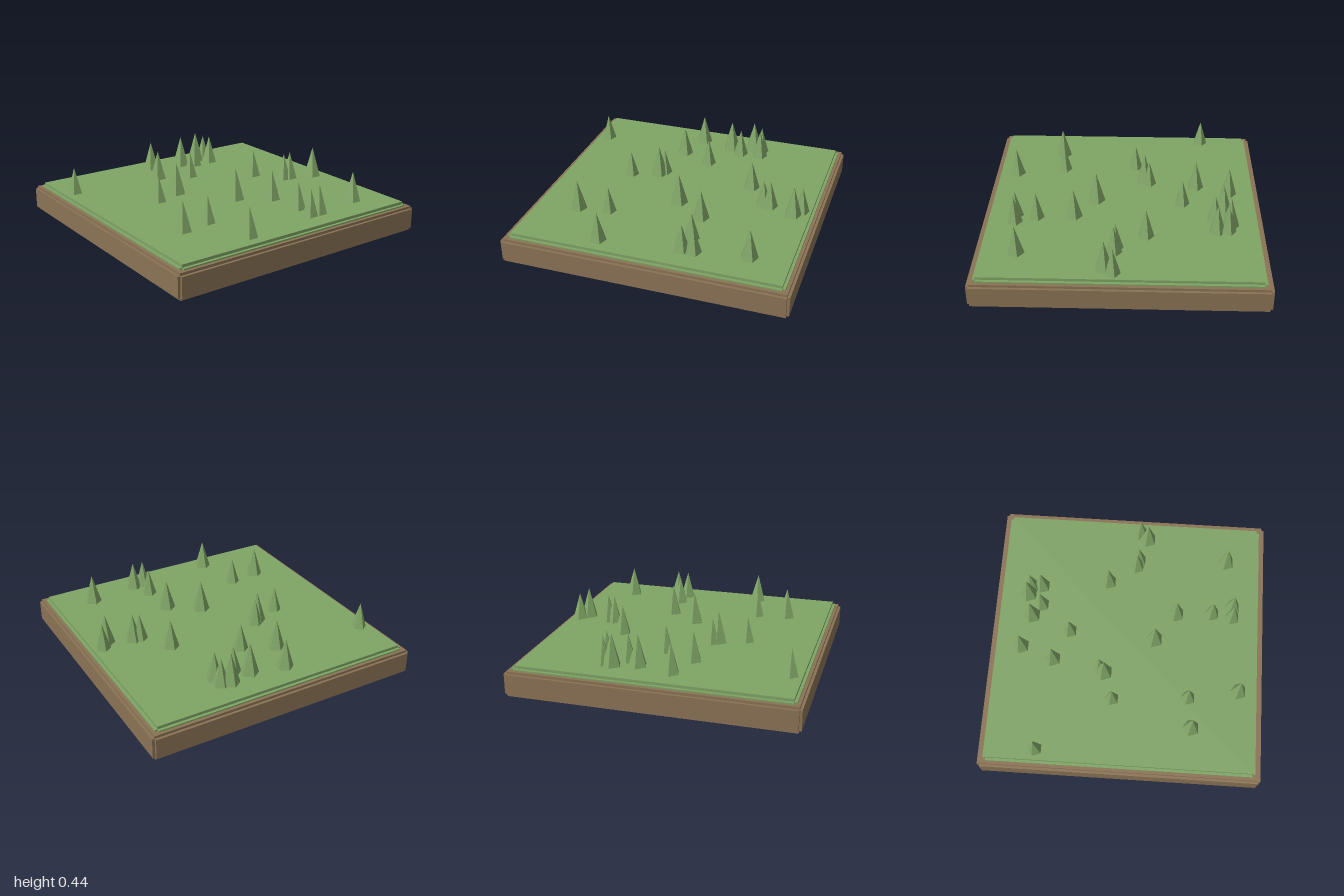
import * as THREE from 'three';

const soil = new THREE.MeshStandardMaterial({ color: 0x8b7355 });
soil.name = 'soil brown';
const grass = new THREE.MeshStandardMaterial({ color: 0x7fa465 });
grass.name = 'grass green';
const foliage = new THREE.MeshStandardMaterial({ color: 0x82a868 });
foliage.name = 'foliage green';

// Square slab with stepped edges: three crossing boxes, each inset by s on two axes
function steppedSlab(name, size, y0, y1, s, material) {
  const slab = new THREE.Group();
  slab.name = name;
  const h = y1 - y0, n = size - 2 * s;
  const boxes = [[size, h - 2 * s, n], [n, h, n], [n, h - 2 * s, size]];
  for (const [w, height, d] of boxes) {
    const mesh = new THREE.Mesh(new THREE.BoxGeometry(w, height, d), material);
    mesh.name = name + 'Block';
    mesh.position.y = (y0 + y1) / 2;
    slab.add(mesh);
  }
  return slab;
}

// Trees: x, z and height of the tip
const trees = [
  [-0.86, -0.595, 0.40], [-0.10, -0.77, 0.425], [0.145, -0.715, 0.44],
  [0.315, -0.755, 0.44], [0.38, -0.74, 0.41], [0.235, -0.65, 0.41],
  [0.385, -0.66, 0.42], [-0.185, -0.53, 0.425], [0.04, -0.425, 0.405],
  [-0.23, -0.185, 0.395], [-0.265, -0.15, 0.44], [-0.46, -0.08, 0.395],
  [0.45, -0.165, 0.42], [0.59, 0.04, 0.405], [0.64, 0.05, 0.415],
  [0.87, 0.05, 0.405], [0.82, 0.11, 0.43], [0.01, 0.20, 0.44],
  [0.22, 0.35, 0.43], [-0.64, 0.495, 0.43], [-0.42, 0.465, 0.40],
  [0.24, 0.615, 0.41], [0.22, 0.765, 0.41], [0.30, 0.765, 0.415],
  [0.665, 0.71, 0.425], [-0.35, 0.825, 0.42],
];

export function createModel() {
  const model = new THREE.Group();
  model.name = 'woodlandTile';

  // Ground layers
  model.add(steppedSlab('soilBase', 2, 0, 0.18, 0.018, soil));
  model.add(steppedSlab('grassLayer', 1.92, 0.15, 0.21, 0.02, grass));

  // Five-sided conifers, flat face towards the front
  const forest = new THREE.Group();
  forest.name = 'forest';
  const ground = 0.21;
  for (const [x, z, tip] of trees) {
    const h = tip - ground;
    const cone = new THREE.ConeGeometry(0.288 * h, h, 5).toNonIndexed();
    cone.computeVertexNormals(); // flat facets
    const tree = new THREE.Mesh(cone, foliage);
    tree.name = 'tree';
    tree.position.set(x, ground + h / 2, z);
    tree.rotation.y = Math.PI;
    forest.add(tree);
  }
  model.add(forest);
  return model;
}
